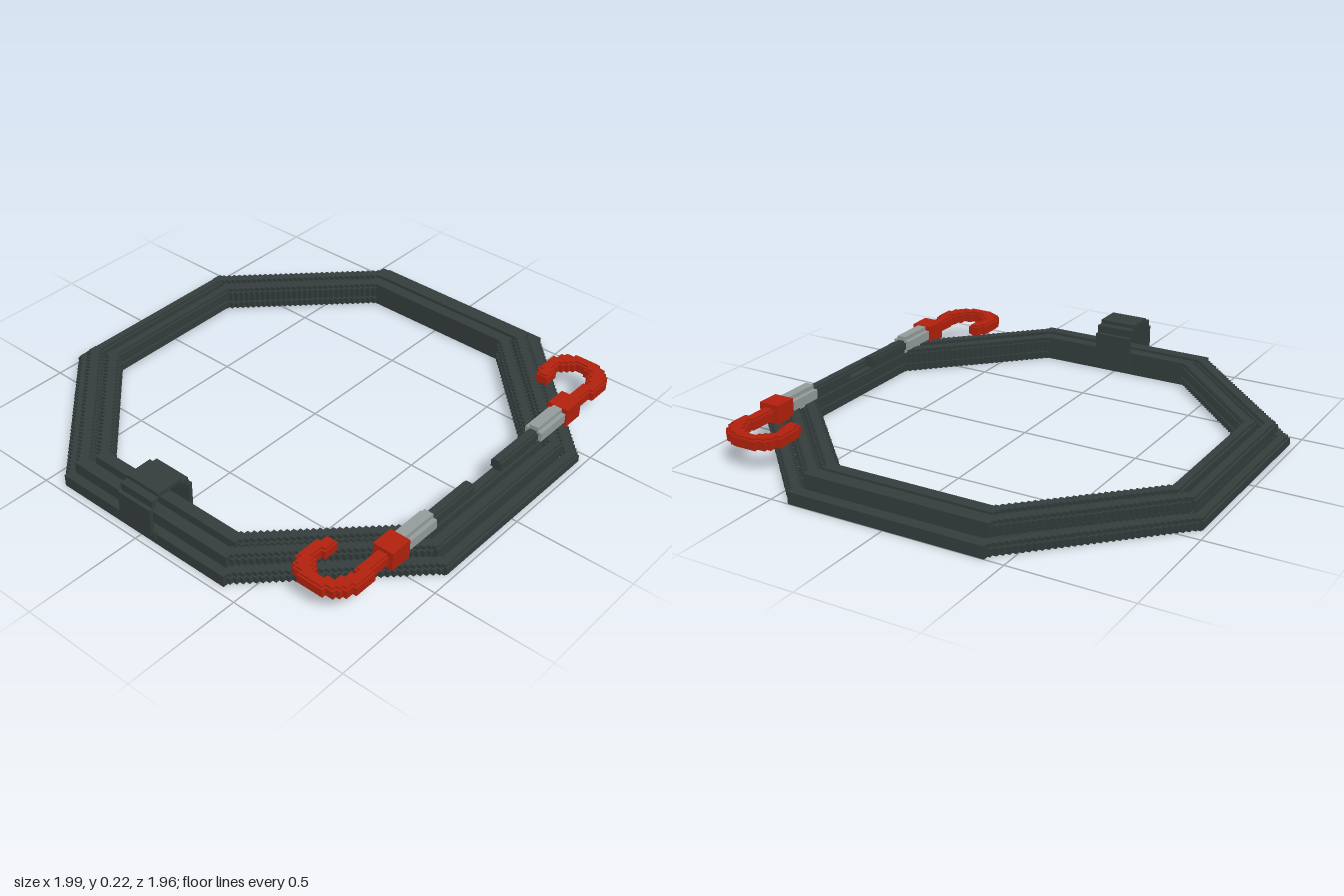
import * as THREE from 'three';
import { mergeGeometries } from 'three/addons/utils/BufferGeometryUtils.js';

const UNIT = 0.0165; // edge of one small block
const material = (name, color) => {
  const m = new THREE.MeshStandardMaterial({ color });
  m.name = name;
  return m;
};

// Box centred at (x, y, z)
const box = (w, h, d, x, y, z) => new THREE.BoxGeometry(w, h, d).translate(x, y, z);

// Blocky round bar along x: a wide middle plus a tall core
const barX = (x0, x1, y, z, size, core = size - 2 * UNIT) => [
  box(x1 - x0, core, size, (x0 + x1) / 2, y, z),
  box(x1 - x0, size, core, (x0 + x1) / 2, y, z),
];

const snap = (v) => Math.round(v / UNIT) * UNIT;

export function createModel() {
  const group = new THREE.Group();
  const rubber = material('dark rubber', 0x343c3c);
  const red = material('red plastic', 0xb2210d);
  const steel = material('grey sleeve', 0x949b9b);

  const add = (name, geometries, mat) => {
    const mesh = new THREE.Mesh(mergeGeometries(geometries), mat);
    mesh.name = name;
    group.add(mesh);
  };

  // One turn of the coil: four straight runs joined by stepped diagonals
  const coilTurn = (left, right, depth, y, sideWidth = 0.05) => {
    const parts = [];
    const size = 0.05;
    const half = depth * 0.4142; // half length of a straight side
    const run = depth - half;    // reach of a diagonal
    const xl = -left + run;
    const xr = right - run;
    for (const s of [-1, 1]) {
      parts.push(...barX(xl - size / 2, xr + size / 2, y, s * depth, size, 0.03));
    }
    parts.push(box(size, size, half * 2 + size, -left, y, 0));
    parts.push(box(sideWidth, size, half * 2 + size, right, y, 0));
    const steps = Math.round(run / UNIT);
    for (let i = 0; i <= steps; i++) {
      const t = (run * i) / steps;
      for (const sz of [-1, 1]) {
        for (const x of [xl - t, xr + t]) {
          const z = sz * (depth - t);
          parts.push(box(size, 0.02, size, x, y, z));
          parts.push(box(0.036, size, 0.036, x, y, z));
        }
      }
    }
    return parts;
  };

  // Three turns on the ground, two on top
  const turns = [
    [0.828, 0.828, 0.83, 0.025],
    [0.886, 0.9, 0.892, 0.025, 0.06],
    [0.944, 0.975, 0.957, 0.025],
    [0.828, 0.828, 0.83, 0.075],
    [0.905, 0.9, 0.905, 0.075, 0.06],
  ];
  turns.forEach((t, i) => add(`coilTurn${i + 1}`, coilTurn(...t), rubber));

  // Thin binding loop around the left-hand run
  const strap = [];
  for (let i = 0; i < 96; i++) {
    const a = (i / 96) * Math.PI * 2;
    strap.push(box(UNIT, UNIT, 0.165,
      -0.885 + snap(0.107 * Math.cos(a)), 0.117 + snap(0.107 * Math.sin(a)), 0));
  }
  add('bindingLoop', strap, rubber);

  // Loose ends with sleeve, collar and hook, mirrored left and right
  for (const side of [-1, 1]) {
    const label = side > 0 ? 'left' : 'right';
    const X = (x) => 0.006 + side * x;
    const span = (a, b, y, z, size, core) =>
      barX(Math.min(X(a), X(b)), Math.max(X(a), X(b)), y, z, size, core);
    const cz = 0.828;

    add(`${label}CordEnd`, span(0.085, 0.34, 0.123, cz, 0.047, 0.03), rubber);
    add(`${label}Sleeve`, span(0.33, 0.495, 0.127, cz, 0.076, 0.04), steel);
    add(`${label}Collar`, [box(0.097, 0.08, 0.09, X(0.543), 0.127, cz)], red);

    // Hook path seen from above, stepped in small blocks
    const path = new THREE.CatmullRomCurve3([
      [0.59, 0.832], [0.68, 0.832], [0.765, 0.832], [0.825, 0.785], [0.842, 0.72],
      [0.822, 0.665], [0.775, 0.633], [0.715, 0.633], [0.675, 0.645],
    ].map(([x, z]) => new THREE.Vector3(x, 0, z)));
    const hook = [];
    for (const p of path.getSpacedPoints(40)) {
      const x = X(snap(p.x));
      const z = snap(p.z) + 0.004;
      hook.push(box(0.036, 0.05, 0.036, x, 0.125, z));
      hook.push(box(0.052, 0.034, 0.052, x, 0.125, z));
    }
    add(`${label}Hook`, hook, red);
  }

  return group;
}
